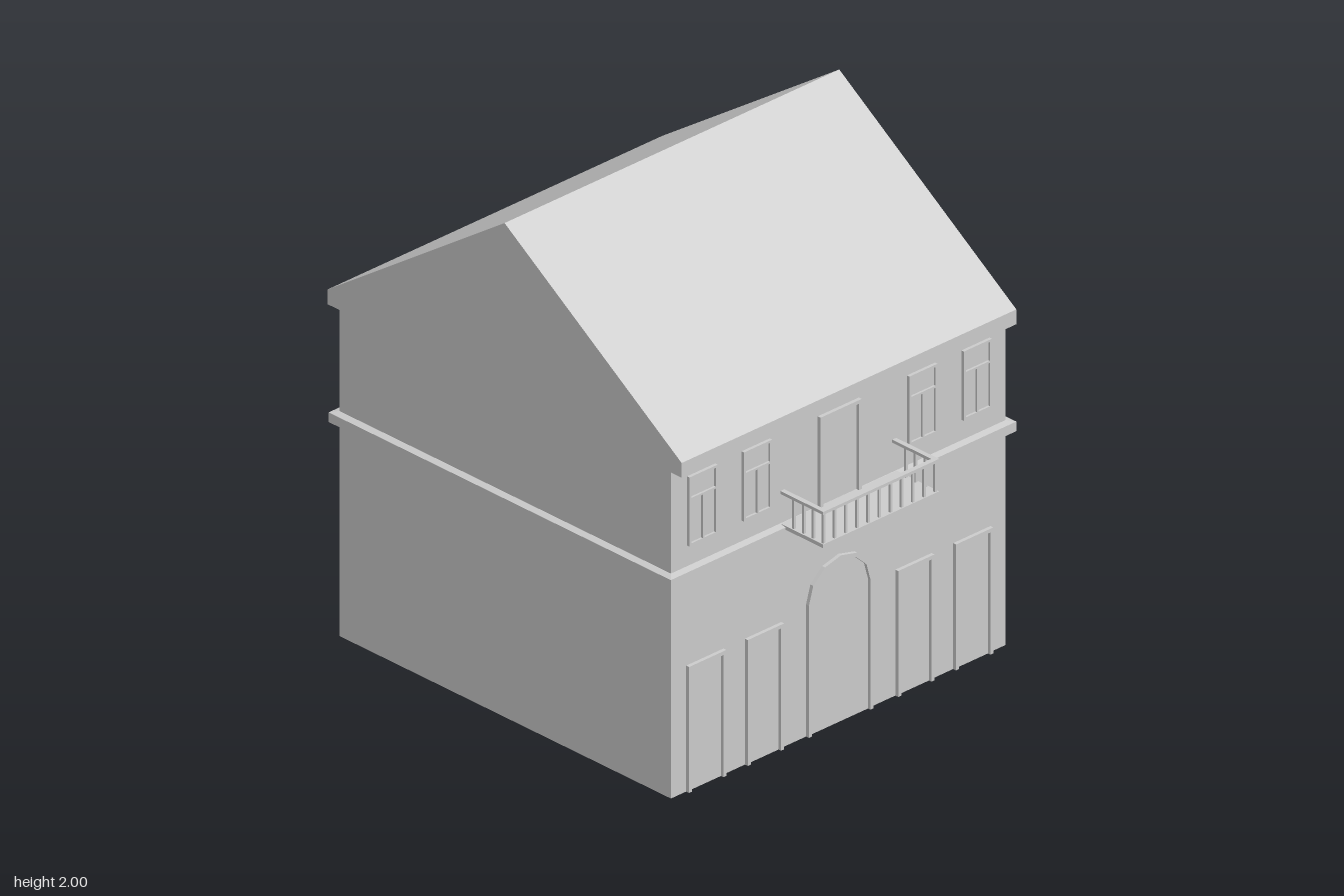
import * as THREE from 'three';

const HALF = 0.83, FRONT = 0.77, BACK = -0.93;
const grey = new THREE.MeshStandardMaterial({ color: 0xcccccc, side: THREE.DoubleSide, flatShading: true });

function add(parent, name, geometry, x = 0, y = 0, z = 0) {
  const mesh = new THREE.Mesh(geometry, grey);
  mesh.name = name;
  mesh.position.set(x, y, z);
  parent.add(mesh);
  return mesh;
}

function group(parent, name) {
  const g = new THREE.Group();
  g.name = name;
  parent.add(g);
  return g;
}

// Flat-shaded surface from a list of four-cornered faces
function quads(list) {
  const pos = [];
  for (const [a, b, c, d] of list) pos.push(...a, ...b, ...c, ...a, ...c, ...d);
  const geo = new THREE.BufferGeometry();
  geo.setAttribute('position', new THREE.Float32BufferAttribute(pos, 3));
  geo.computeVertexNormals();
  return geo;
}

const shapeOf = pts => new THREE.Shape(pts.map(p => new THREE.Vector2(p[0], p[1])));
const rect = (x0, y0, x1, y1) => [[x0, y0], [x1, y0], [x1, y1], [x0, y1]];
const extrude = (shape, depth) => new THREE.ExtrudeGeometry(shape, { depth, bevelEnabled: false });

// Opening outline from bottom left over the top to bottom right
function outline(w, h, rise) {
  if (!rise) return [[-w, 0], [-w, h], [w, h], [w, 0]];
  const pts = [[-w, 0]];
  for (let i = 0; i <= 6; i++) {
    const a = Math.PI * (1 - i / 6);
    pts.push([w * Math.cos(a), h - rise + rise * Math.sin(a)]);
  }
  pts.push([w, 0]);
  return pts;
}

// Door with a thin raised surround, open at the sill
function door(parent, name, x, y, w, h, rise = 0) {
  const t = 0.015;
  const g = group(parent, name);
  const outer = outline(w / 2, h, rise);
  const inner = outline(w / 2 - t, h - t, rise && rise - t / 2);
  add(g, 'doorSurround', extrude(shapeOf([...outer, ...inner.slice().reverse()]), 0.015), x, y, FRONT);
  add(g, 'doorLeaf', new THREE.ShapeGeometry(shapeOf(inner)), x, y, FRONT + 0.002);
}

// Window with one pane above the transom and two below
function windowUnit(parent, x) {
  const g = group(parent, 'window');
  const w = 0.07, h = 0.28, t = 0.01, bar = 0.004, transom = 0.19;
  const frame = shapeOf(rect(-w, 0, w, h));
  for (const hole of [
    rect(-w + t, transom + bar, w - t, h - t),
    rect(-w + t, t, -bar, transom - bar),
    rect(bar, t, w - t, transom - bar),
  ]) frame.holes.push(shapeOf(hole));
  add(g, 'windowFrame', extrude(frame, 0.013), x, 0.995, FRONT);
  add(g, 'windowPanes', new THREE.PlaneGeometry(2 * w, h), x, 0.995 + h / 2, FRONT + 0.004);
}

export function createModel() {
  const house = new THREE.Group();
  house.name = 'house';

  // Walls, eaves and roof slopes as one shell, open underneath
  const profile = [[FRONT, 0], [FRONT, 1.32], [0.825, 1.32], [0.825, 1.38], [-0.083, 2],
    [-0.99, 1.38], [-0.99, 1.32], [BACK, 1.32], [BACK, 0]];
  const names = ['frontWall', 'frontSoffit', 'frontFascia', 'frontRoofSlope',
    'backRoofSlope', 'backFascia', 'backSoffit', 'backWall'];
  names.forEach((name, i) => {
    const [z0, y0] = profile[i], [z1, y1] = profile[i + 1];
    add(house, name, quads([[[-HALF, y0, z0], [HALF, y0, z0], [HALF, y1, z1], [-HALF, y1, z1]]]));
  });

  // Gable walls
  for (const s of [1, -1]) {
    const geo = new THREE.ShapeGeometry(shapeOf(profile.map(([z, y]) => [-s * z, y])));
    geo.rotateY(s * Math.PI / 2);
    add(house, s > 0 ? 'leftGableWall' : 'rightGableWall', geo, s * HALF);
  }

  // String course around the house with slightly sloped top and underside
  const loops = [[0, 0.86], [0.027, 0.866], [0.027, 0.905], [0, 0.911]].map(([o, y]) => [
    [-HALF - o, y, FRONT + o], [HALF + o, y, FRONT + o],
    [HALF + o, y, BACK - o], [-HALF - o, y, BACK - o]]);
  const faces = [];
  for (let k = 0; k < 3; k++) {
    for (let i = 0; i < 4; i++) {
      const j = (i + 1) % 4;
      faces.push([loops[k][i], loops[k][j], loops[k + 1][j], loops[k + 1][i]]);
    }
  }
  add(house, 'stringCourse', quads(faces));

  // Doors and windows
  door(house, 'archedDoor', 0, 0, 0.32, 0.68, 0.145);
  door(house, 'balconyDoor', 0, 0.91, 0.205, 0.365);
  for (const s of [-1, 1]) {
    door(house, 'innerDoor', s * 0.373, 0, 0.18, 0.51);
    door(house, 'outerDoor', s * 0.662, 0, 0.185, 0.51);
    windowUnit(house, s * 0.41);
    windowUnit(house, s * 0.68);
  }

  // Balcony slab, handrails and balusters
  const balcony = group(house, 'balcony');
  const depth = 0.99 - FRONT, mid = FRONT + depth / 2;
  add(balcony, 'balconySlab', new THREE.BoxGeometry(0.575, 0.015, depth), 0, 0.903, mid);
  add(balcony, 'frontHandrail', new THREE.BoxGeometry(0.575, 0.012, 0.02), 0, 1.036, 0.98);
  const post = new THREE.BoxGeometry(0.01, 0.12, 0.01);
  for (let i = 0; i <= 10; i++) add(balcony, 'baluster', post, -0.277 + i * 0.0554, 0.97, 0.98);
  for (const s of [-1, 1]) {
    add(balcony, 'sideHandrail', new THREE.BoxGeometry(0.02, 0.012, depth - 0.02), s * 0.2775, 1.036, mid - 0.01);
    for (let i = 1; i <= 3; i++) add(balcony, 'baluster', post, s * 0.277, 0.97, 0.98 - i * 0.05);
  }

  return house;
}
